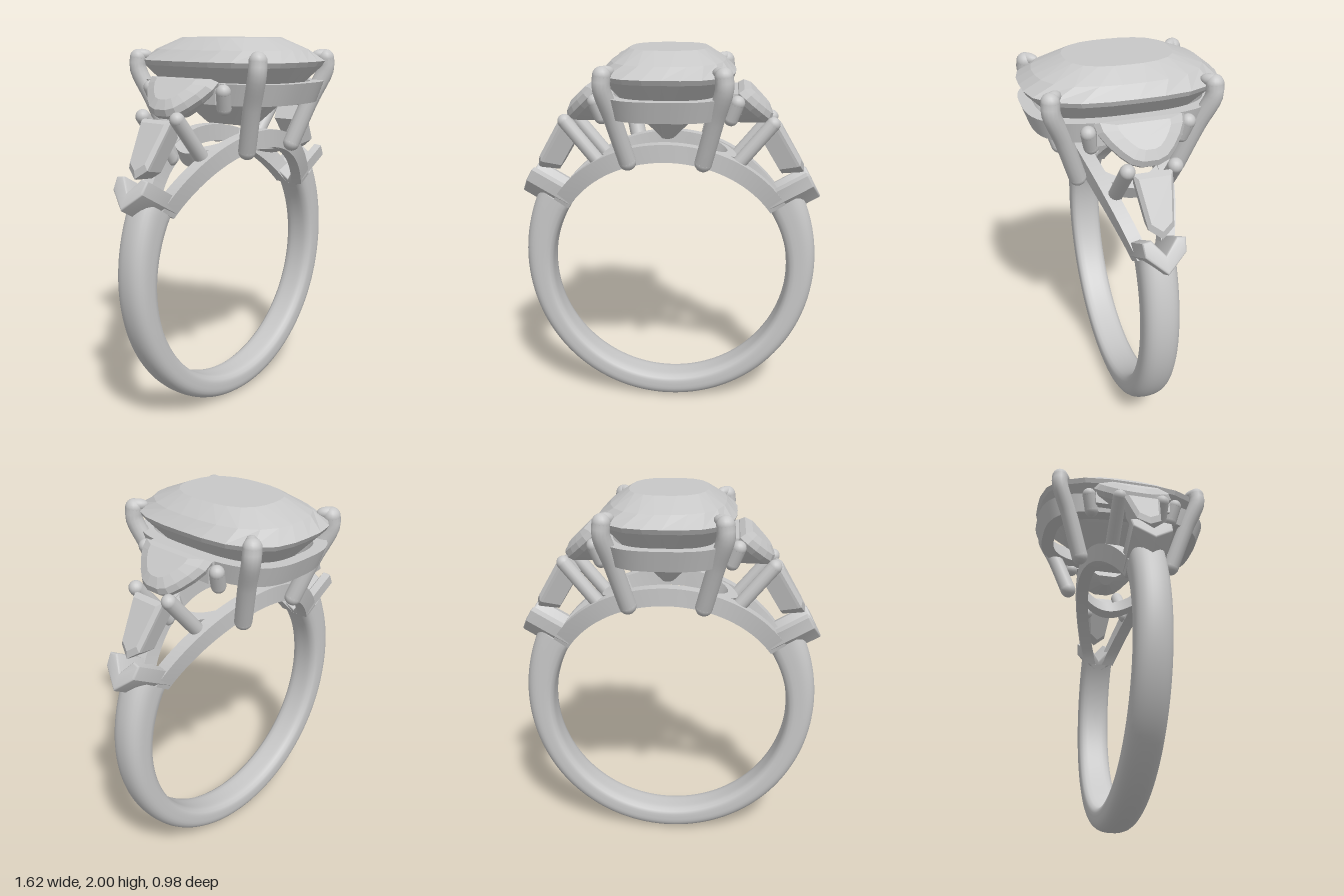
import * as THREE from 'three';
import { toCreasedNormals } from 'three/addons/utils/BufferGeometryUtils.js';

const CY = 0.787, INNER = 0.652; // centre height and radius of the finger hole
const rad = THREE.MathUtils.degToRad;

// Skin a list of rings (each counter-clockwise around the direction of travel)
function loft(rings, crease, caps = true) {
  const n = rings[0].length, pos = rings.flat(2), idx = [];
  for (let i = 0; i < rings.length - 1; i++) {
    for (let j = 0; j < n; j++) {
      const k = (j + 1) % n, a = i * n + j, b = i * n + k;
      idx.push(a, b, b + n, a, b + n, a + n);
    }
  }
  if (caps) {
    [0, rings.length - 1].forEach((r, end) => {
      const c = pos.length / 3;
      for (let d = 0; d < 3; d++) pos.push(rings[r].reduce((s, p) => s + p[d], 0) / n);
      for (let j = 0; j < n; j++) {
        const a = r * n + j, b = r * n + (j + 1) % n;
        idx.push(c, end ? a : b, end ? b : a);
      }
    });
  }
  const g = new THREE.BufferGeometry();
  g.setAttribute('position', new THREE.Float32BufferAttribute(pos, 3));
  g.setIndex(idx);
  return toCreasedNormals(g, crease);
}

// Cushion outline at height y; shift turns the ring by part of a step
function cushion(rx, rz, y, n, shift = 0, e = 3) {
  return Array.from({ length: n }, (_, j) => {
    const a = (j + shift) / n * Math.PI * 2, c = Math.cos(a), s = Math.sin(a);
    const k = Math.pow(Math.abs(c) ** e + Math.abs(s) ** e, -1 / e);
    return [rx * c * k, y, -rz * s * k];
  });
}

// Sweep a section [radius, z] around the finger hole between two angles
function sweep(from, to, steps, section, crease) {
  const rings = [];
  for (let i = 0; i <= steps; i++) {
    const a = rad(from + (to - from) * i / steps);
    rings.push(section(a, i / steps).map(([r, z]) => [r * Math.cos(a), CY + r * Math.sin(a), z]));
  }
  return loft(rings, crease);
}

// Faceted side stone from half an outline [x, z] and levels [scale, y]
function sideStone(half, cx, levels) {
  const outline = [...half.map(([x, z]) => [x, -z]).reverse(), ...half.filter(p => p[1] > 0)];
  outline.reverse();
  const area = outline.reduce((s, p, i) => {
    const q = outline[(i + 1) % outline.length];
    return s + p[0] * q[1] - p[1] * q[0];
  }, 0);
  if (area > 0) outline.reverse();
  return loft(levels.map(([k, y]) => outline.map(([x, z]) => [cx + (x - cx) * k, y, z * k])), 0);
}

export function createModel() {
  const ring = new THREE.Group();
  ring.name = 'ring';
  const silver = new THREE.MeshStandardMaterial({ color: 0xc8c8c8 });
  silver.name = 'silver grey';

  const add = (parent, name, geometry) => {
    const m = new THREE.Mesh(geometry, silver);
    m.name = name;
    parent.add(m);
    return m;
  };
  const prong = (parent, name, points, r) => {
    const g = new THREE.Group();
    g.name = name;
    const v = points.map(p => new THREE.Vector3(...p));
    add(g, 'shaft', new THREE.TubeGeometry(new THREE.CatmullRomCurve3(v), 16, r, 14));
    add(g, 'tip', new THREE.SphereGeometry(r, 16, 12)).position.copy(v[v.length - 1]);
    add(g, 'foot', new THREE.SphereGeometry(r, 16, 12)).position.copy(v[0]);
    parent.add(g);
    return g;
  };

  // Band: rounded outside, nearly flat inside, growing towards the shoulders
  add(ring, 'band', sweep(147, 393, 96, a => {
    const outer = 0.785 + 0.06 * ((Math.sin(a) + 1) / 1.55) ** 3;
    const mid = (outer + INNER) / 2, h = (outer - INNER) / 2;
    return Array.from({ length: 28 }, (_, j) => {
      const t = j / 28 * Math.PI * 2, c = Math.cos(t), s = Math.sin(t);
      const e = c < 0 ? 5 : 2.5;
      const k = Math.pow(Math.abs(c) ** e + Math.abs(s) ** e, -1 / e);
      return [mid + h * c * k, -0.09 * s * k];
    });
  }, 0.7));

  // Lower gallery: two rails that part around an eye-shaped opening
  for (const s of [1, -1]) {
    add(ring, 'galleryRail', sweep(33, 147, 40, (a, t) => {
      const z = s * (0.055 + 0.135 * Math.sin(t * Math.PI));
      return [[0.745, z + 0.035], [0.745, z - 0.035], [INNER, z - 0.035], [INNER, z + 0.035]];
    }, 0.5));
    // Curved cross bars close the oval in the middle
    const bow = [];
    for (let i = 0; i <= 14; i++) {
      const z = 0.16 - 0.32 * i / 14, a0 = rad(90 - s * (27 - 300 * z * z));
      bow.push([-1, 1, 1, -1].map((d, k) => {
        const r = k < 2 ? INNER : 0.74, a = a0 + d * 0.04;
        return [r * Math.cos(a), CY + r * Math.sin(a), z];
      }));
    }
    add(ring, 'galleryCrossBar', loft(bow, 0.5));
  }

  // Centre stone: keel pavilion, girdle, two rows of crown facets and table
  add(ring, 'centreStone', loft([
    cushion(0.04, 0.16, 1.55, 24),
    cushion(0.19, 0.32, 1.7, 24, 0.5),
    cushion(0.335, 0.475, 1.86, 24),
    cushion(0.345, 0.49, 1.885, 24),
    cushion(0.29, 0.42, 1.94, 24, 0.5, 2.6),
    cushion(0.2, 0.27, 2.0, 24, 0, 2.6),
  ], 0.02));

  // Upper rail under the centre stone
  const rail = [[0.315, 0.45, 1.68], [0.335, 0.488, 1.785], [0.275, 0.425, 1.785], [0.245, 0.38, 1.68], [0.315, 0.45, 1.68]];
  add(ring, 'upperRail', loft(rail.map(([x, z, y]) => cushion(x, z, y, 64)), 0.5, false));

  // Four claws holding the centre stone
  for (const sx of [1, -1]) for (const sz of [1, -1]) {
    const claw = prong(ring, 'clawProng', [
      [0.192 * sx, 1.45, 0.262 * sz], [0.25 * sx, 1.68, 0.338 * sz],
      [0.292 * sx, 1.84, 0.4 * sz], [0.288 * sx, 1.895, 0.4 * sz]], 0.045);
    const beak = add(claw, 'clawTip', new THREE.SphereGeometry(0.038, 16, 12));
    beak.scale.set(1.45, 0.8, 0.8);
    beak.position.set(0.276 * sx, 1.91, 0.385 * sz);
    beak.rotation.y = -sx * sz * Math.PI / 4;
  }

  // Both shoulders are the same assembly turned half a circle
  for (const turn of [0, Math.PI]) {
    const side = new THREE.Group();
    side.name = turn ? 'rightShoulder' : 'leftShoulder';
    side.rotation.y = turn;
    ring.add(side);

    // Half-moon stone
    const moon = add(side, 'halfMoonStone', sideStone(
      [[0, 0.22], [0.05, 0.212], [0.11, 0.18], [0.17, 0.135], [0.215, 0.09], [0.235, 0.04]],
      0.09, [[0.25, -0.13], [0.94, -0.03], [1, 0], [0.9, 0.03], [0.58, 0.052]]));
    moon.position.set(0.36, 1.795, 0);
    moon.rotation.z = rad(-43);

    // Seat bar beside the centre stone
    add(side, 'seatBar', new THREE.BoxGeometry(0.04, 0.1, 0.42)).position.set(0.355, 1.74, 0);

    // Tapered baguette stone with a pointed lower end
    const baguette = add(side, 'baguetteStone', sideStone(
      [[0, 0.097], [0.26, 0.062], [0.31, 0]],
      0.14, [[0.72, -0.125], [0.98, -0.035], [1, -0.02], [0.8, 0]]));
    baguette.position.set(0.575, 1.63, 0);
    baguette.rotation.z = rad(-59);

    // Chevron collar where the band meets the baguette
    const v = new THREE.Shape([[0, -0.02], [0.09, 0.065], [0.095, 0.12], [0.065, 0.125],
      [0, 0.045], [-0.065, 0.125], [-0.095, 0.12], [-0.09, 0.065]].map(p => new THREE.Vector2(...p)));
    const chevron = new THREE.ExtrudeGeometry(v, {
      depth: 0.25, bevelThickness: 0.01, bevelSize: 0.01, bevelSegments: 3 });
    const c = Math.cos(rad(30)), s = Math.sin(rad(30));
    chevron.applyMatrix4(new THREE.Matrix4().makeBasis(
      new THREE.Vector3(0, 0, -1), new THREE.Vector3(-s, c, 0), new THREE.Vector3(c, s, 0))
      .setPosition(0.662 * c, CY + 0.662 * s, 0));
    add(side, 'chevronCollar', toCreasedNormals(chevron, 0.6));

    // Small prongs at both ends of the half-moon
    for (const z of [1, -1]) {
      prong(side, 'upperProng', [[0.325, 1.67, 0.225 * z], [0.355, 1.75, 0.245 * z]], 0.037);
      prong(side, 'lowerProng', [[0.345, 1.39, 0.12 * z], [0.54, 1.625, 0.115 * z]], 0.037);
    }
  }
  return ring;
}
